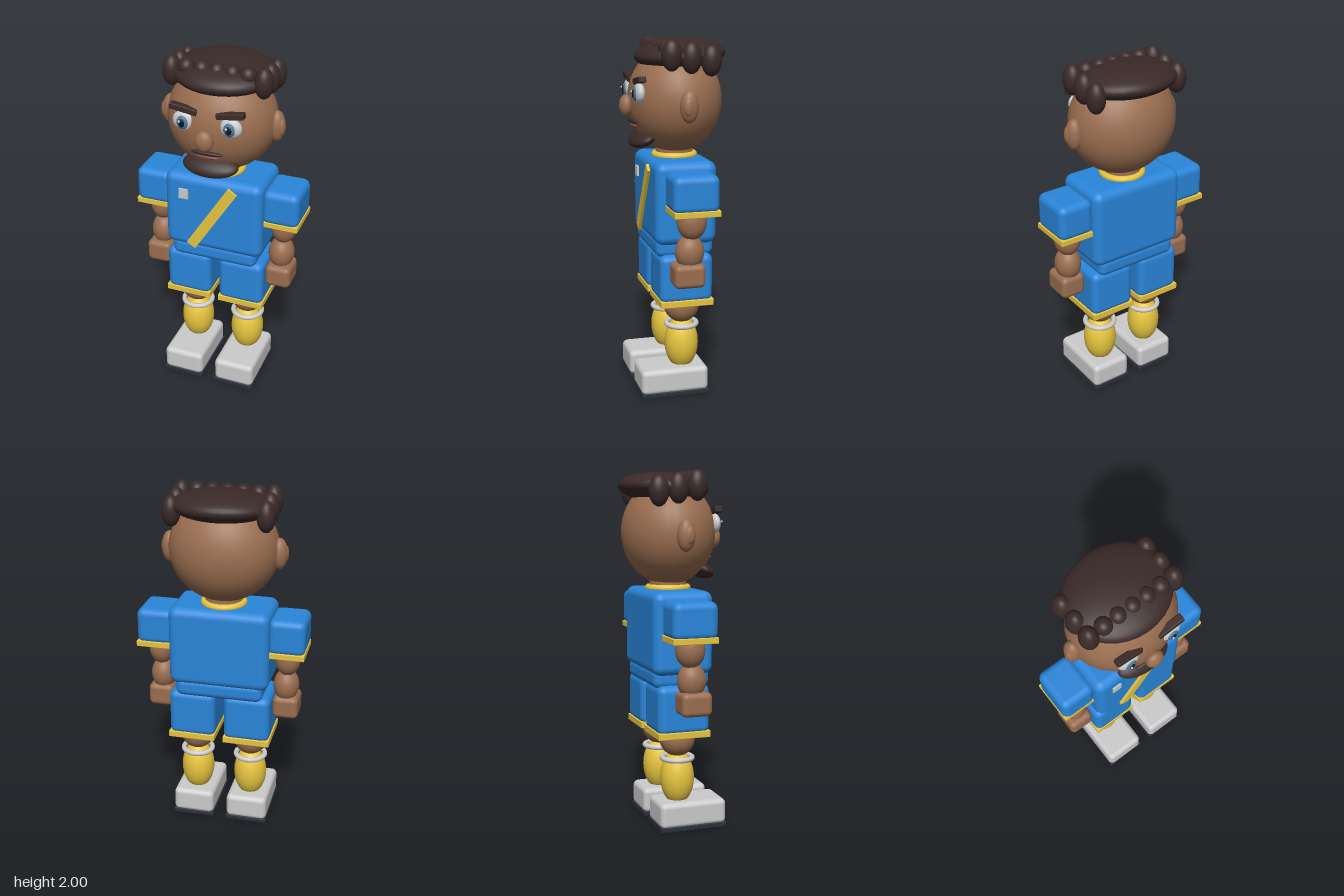
import * as THREE from 'three';
import { RoundedBoxGeometry } from 'three/addons/geometries/RoundedBoxGeometry.js';

const mat = (color) => new THREE.MeshStandardMaterial({ color });
const SKIN = mat(0x9a6e50), BLUE = mat(0x2a86da), YELLOW = mat(0xe6c540), HAIR = mat(0x3a2a28);
const GREY = mat(0xcccccc), SOLE = mat(0x2b303a), IRIS = mat(0x4a7a9c), PUPIL = mat(0x14181c);
const LIP = mat(0x7a4a40), TREAD = mat(0x5c5c5c);

export function createModel() {
  const model = new THREE.Group();
  model.name = 'footballer';

  const add = (name, geometry, material, [x, y, z], parent = model) => {
    const mesh = new THREE.Mesh(geometry, material);
    mesh.name = name;
    mesh.position.set(x, y, z);
    parent.add(mesh);
    return mesh;
  };
  // Ellipsoid given by its three radii
  const blob = (name, material, [rx, ry, rz], pos, parent) =>
    add(name, new THREE.SphereGeometry(1, 32, 24).scale(rx, ry, rz), material, pos, parent);
  // Box given by its extents; rounded when r > 0
  const box = (name, material, [x0, x1], [y0, y1], [z0, z1], r, parent) => {
    const size = [x1 - x0, y1 - y0, z1 - z0];
    const geometry = r ? new RoundedBoxGeometry(...size, 4, r) : new THREE.BoxGeometry(...size);
    return add(name, geometry, material, [(x0 + x1) / 2, (y0 + y1) / 2, (z0 + z1) / 2], parent);
  };
  const span = (s, a, b) => (s > 0 ? [a, b] : [-b, -a]);
  const ring = (name, material, radius, tube, pos, parent) =>
    add(name, new THREE.TorusGeometry(radius, tube, 12, 40).rotateX(Math.PI / 2), material, pos, parent);

  // Torso, hips, neck and collar
  box('shirt', BLUE, [-0.285, 0.285], [0.885, 1.345], [-0.19, 0.155], 0.05);
  box('hips', BLUE, [-0.25, 0.25], [0.81, 0.92], [-0.18, 0.145], 0.04);
  add('neck', new THREE.CylinderGeometry(0.1, 0.11, 0.12, 32), SKIN, [0, 1.36, -0.018]);
  ring('collar', YELLOW, 0.11, 0.02, [0, 1.35, -0.018]);
  box('badge', GREY, [-0.193, -0.138], [1.203, 1.262], [0.15, 0.165], 0);
  const sash = box('sash', YELLOW, [-0.03, 0.03], [0.875, 1.335], [0.15, 0.17], 0);
  sash.rotation.z = -0.56;

  // Head
  const head = new THREE.Group();
  head.name = 'head';
  model.add(head);
  blob('skull', SKIN, [0.305, 0.295, 0.26], [0, 1.66, -0.018], head);
  blob('nose', SKIN, [0.051, 0.06, 0.038], [0, 1.63, 0.257], head);
  const moustache = blob('moustache', HAIR, [0.09, 0.014, 0.02], [0, 1.545, 0.22], head);
  moustache.rotation.x = -0.2;
  blob('mouth', LIP, [0.065, 0.012, 0.014], [0, 1.52, 0.215], head);
  const beard = blob('beard', HAIR, [0.158, 0.043, 0.08], [0, 1.45, 0.165], head);
  beard.rotation.x = 0.5;

  // Hair cap and fringe of curls
  const cap = blob('hairCap', HAIR, [0.285, 0.085, 0.25], [0, 1.905, -0.047], head);
  cap.rotation.x = 0.06;
  for (let i = -2; i <= 2; i++) {
    blob('fringeCurl', HAIR, [0.046, 0.05, 0.048], [i * 0.085, 1.945, 0.067], head);
  }

  for (const s of [1, -1]) {
    const side = s > 0 ? 'left' : 'right';

    // Side curls, dropping towards the back
    [[0.063, 1.915], [-0.045, 1.9], [-0.155, 1.885]].forEach(([z, y]) =>
      blob(side + 'SideCurl', HAIR, [0.05, 0.085, 0.056], [s * 0.255, y, z], head));

    // Ear, eye and brow
    blob(side + 'Ear', SKIN, [0.045, 0.088, 0.05], [s * 0.305, 1.648, -0.02], head);
    blob(side + 'InnerEar', SKIN, [0.02, 0.05, 0.03], [s * 0.335, 1.648, -0.01], head);
    blob(side + 'Eye', GREY, [0.062, 0.056, 0.03], [s * 0.13, 1.708, 0.21], head);
    blob(side + 'Iris', IRIS, [0.032, 0.038, 0.014], [s * 0.13, 1.706, 0.233], head);
    blob(side + 'Pupil', PUPIL, [0.017, 0.024, 0.008], [s * 0.13, 1.706, 0.243], head);
    blob(side + 'EyeGlint', GREY, [0.007, 0.007, 0.005], [s * 0.13 - 0.01, 1.718, 0.252], head);
    const brow = box(side + 'Brow', HAIR, span(s, 0.052, 0.205), [1.76, 1.793], [0.188, 0.23], 0.006, head);
    brow.rotation.z = s * 0.15;

    // Arm
    const arm = new THREE.Group();
    arm.name = side + 'Arm';
    model.add(arm);
    box('sleeve', BLUE, span(s, 0.27, 0.478), [1.1, 1.305], [-0.147, 0.108], 0.04, arm);
    box('sleeveTrim', YELLOW, span(s, 0.28, 0.478), [1.083, 1.117], [-0.15, 0.105], 0.004, arm);
    blob('upperArm', SKIN, [0.073, 0.1, 0.082], [s * 0.368, 1.04, -0.018], arm);
    blob('forearm', SKIN, [0.073, 0.095, 0.08], [s * 0.362, 0.872, -0.008], arm);
    box('hand', SKIN, span(s, 0.293, 0.44), [0.683, 0.815], [-0.083, 0.09], 0.03, arm);

    // Leg
    const leg = new THREE.Group();
    leg.name = side + 'Leg';
    model.add(leg);
    box('shorts', BLUE, span(s, 0.025, 0.292), [0.555, 0.83], [-0.168, 0.133], 0.04, leg);
    box('shortsTrim', YELLOW, span(s, 0.025, 0.295), [0.535, 0.573], [-0.17, 0.133], 0.004, leg);
    blob('knee', SKIN, [0.1, 0.1, 0.1], [s * 0.16, 0.51, -0.018], leg);
    blob('sock', YELLOW, [0.096, 0.155, 0.096], [s * 0.16, 0.285, -0.018], leg);
    ring('sockBand', GREY, 0.085, 0.015, [s * 0.16, 0.4, -0.018], leg);
    box('shoe', GREY, span(s, 0.04, 0.28), [0.02, 0.165], [-0.15, 0.238], 0.03, leg);
    box('sole', SOLE, span(s, 0.037, 0.281), [0.006, 0.032], [-0.151, 0.238], 0.004, leg);
    box('tread', TREAD, span(s, 0.055, 0.263), [0, 0.02], [-0.13, 0.217], 0, leg);
  }
  return model;
}
